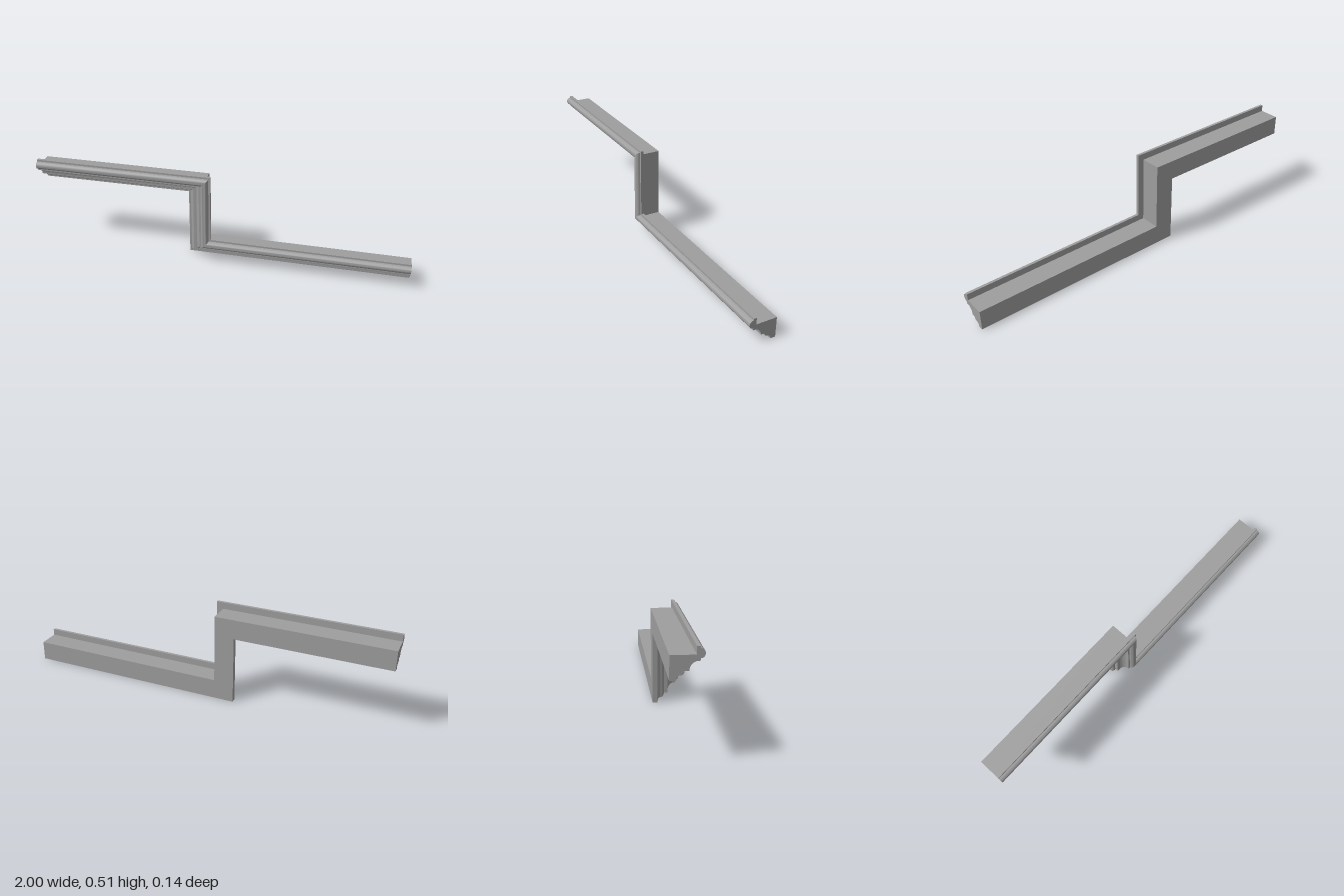
import * as THREE from 'three';
import { toCreasedNormals } from 'three/addons/utils/BufferGeometryUtils.js';

// Quarter or half round in the (z, v) profile plane
function arc(cz, cv, rz, rv, from, to, steps) {
  const pts = [];
  for (let i = 0; i <= steps; i++) {
    const a = from + (to - from) * i / steps;
    pts.push([cz + rz * Math.cos(a), cv + rv * Math.sin(a)]);
  }
  return pts;
}

// Moulding profile: z is depth, v is the distance from the outer edge
function mouldingProfile() {
  const PI = Math.PI;
  return [
    [-0.072, 0], [-0.046, 0],
    ...arc(-0.029, 0.002, 0.017, 0.020, PI, PI / 2, 8),            // small ogee, hollow
    ...arc(-0.029, 0.038, 0.018, 0.016, -PI / 2, 0, 8).slice(1),   // small ogee, round
    [-0.011, 0.04], [0.008, 0.04],
    ...arc(0.045, 0.042, 0.037, 0.038, PI, PI / 2, 12),            // large cove
    [0.052, 0.08],
    ...arc(0.052, 0.111, 0.0205, 0.0205, -PI / 2, PI / 2, 18),     // bead
    [0.052, 0.141], [0.037, 0.141],                                // upstanding lip
    [0.037, 0.106], [-0.072, 0.106],
  ].map(([z, v]) => new THREE.Vector2(z, v));
}

export function createModel() {
  const group = new THREE.Group();
  group.name = 'steppedMoulding';
  const grey = new THREE.MeshStandardMaterial({ color: 0x9e9e9e });
  grey.name = 'grey';

  const profile = mouldingProfile();
  const n = profile.length;
  const rise = 0.367, stepX = -0.188;

  // Mitred stations along the run: left end, upper corner, lower corner, right end
  const stations = [
    v => [-1, rise + v],
    v => [stepX + v, rise + v],
    v => [stepX + v, v],
    v => [1, v],
  ];
  const point = (s, i) => {
    const { x: z, y: v } = profile[i];
    return [...stations[s](v), z];
  };

  const positions = [];
  const face = (...corners) => corners.forEach(c => positions.push(...c));

  // Swept sides
  for (let s = 0; s < stations.length - 1; s++) {
    for (let i = 0; i < n; i++) {
      const j = (i + 1) % n;
      const a0 = point(s, i), b0 = point(s, j);
      const a1 = point(s + 1, i), b1 = point(s + 1, j);
      face(a0, b1, b0);
      face(a0, a1, b1);
    }
  }

  // End caps
  for (const [a, b, c] of THREE.ShapeUtils.triangulateShape(profile, [])) {
    face(point(0, a), point(0, b), point(0, c));
    face(point(3, a), point(3, c), point(3, b));
  }

  const geometry = new THREE.BufferGeometry();
  geometry.setAttribute('position', new THREE.Float32BufferAttribute(positions, 3));
  const mesh = new THREE.Mesh(toCreasedNormals(geometry, Math.PI / 6), grey);
  mesh.name = 'moulding';
  group.add(mesh);
  return group;
}
